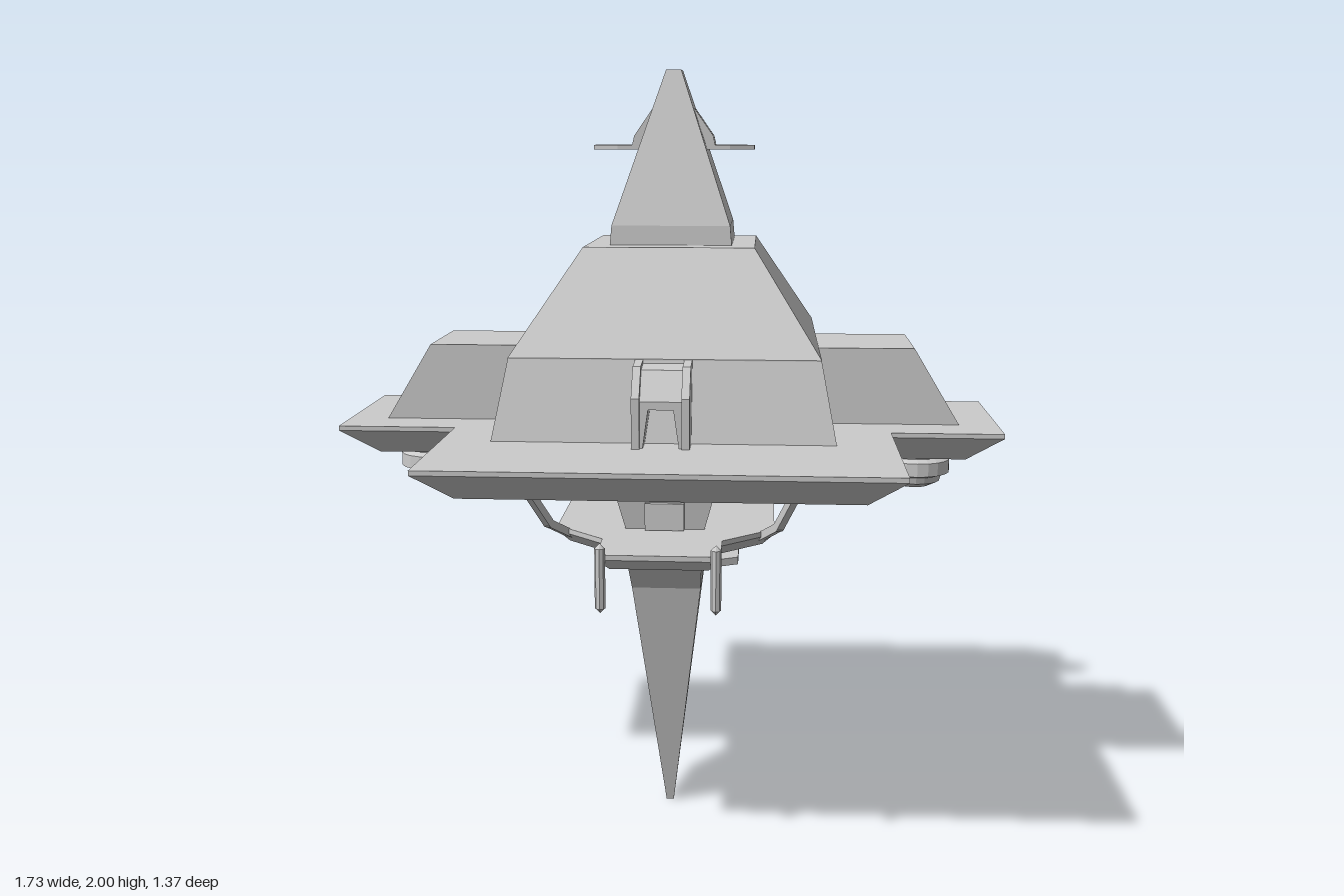
import * as THREE from 'three';

const mat = new THREE.MeshStandardMaterial({ color: 0xcccccc, flatShading: true });
const thin = new THREE.MeshStandardMaterial({ color: 0xcccccc, flatShading: true, side: THREE.DoubleSide });

export function createModel() {
  const model = new THREE.Group();

  function add(name, geo, material = mat) {
    const mesh = new THREE.Mesh(geo, material);
    mesh.name = name;
    model.add(mesh);
    return mesh;
  }

  // Rings run counter-clockwise seen from above, lowest ring first
  function loft(name, rings) {
    const pos = [], n = rings[0].length;
    for (let r = 0; r < rings.length - 1; r++) {
      const a = rings[r], b = rings[r + 1];
      for (let i = 0; i < n; i++) {
        const j = (i + 1) % n;
        pos.push(...a[i], ...a[j], ...b[j], ...a[i], ...b[j], ...b[i]);
      }
    }
    const cap = (ring, up) => {
      const flat = ring.map(p => new THREE.Vector2(p[0], -p[2]));
      for (const [i, j, k] of THREE.ShapeUtils.triangulateShape(flat, []))
        pos.push(...ring[i], ...ring[up ? j : k], ...ring[up ? k : j]);
    };
    cap(rings[0], false);
    cap(rings[rings.length - 1], true);
    const geo = new THREE.BufferGeometry();
    geo.setAttribute('position', new THREE.Float32BufferAttribute(pos, 3));
    geo.computeVertexNormals();
    return add(name, geo);
  }

  // Rectangular ring; yBack lets the rear edge sit at another height
  const rect = (x, front, back, y, yBack = y) =>
    [[x, y, front], [x, yBack, back], [-x, yBack, back], [-x, y, front]];

  // Outline moved inward by d with mitred corners
  function ringOf(pts, y, d = 0) {
    const n = pts.length;
    const normal = (p, q) => {
      const dx = q[0] - p[0], dz = q[1] - p[1], l = Math.hypot(dx, dz);
      return [-dz / l, dx / l];
    };
    return pts.map((p, i) => {
      const a = normal(pts[(i + n - 1) % n], p), b = normal(p, pts[(i + 1) % n]);
      const k = d / (1 + a[0] * b[0] + a[1] * b[1]);
      return [p[0] - (a[0] + b[0]) * k, y, p[1] - (a[1] + b[1]) * k];
    });
  }

  const shapeOf = pts => new THREE.Shape(pts.map(p => new THREE.Vector2(...p)));

  // Side profile of [z, y] points, w wide, centred on x
  function prism(name, pts, x, w) {
    const geo = new THREE.ExtrudeGeometry(shapeOf(pts), { depth: w, bevelEnabled: false });
    geo.translate(0, 0, -w / 2).rotateY(-Math.PI / 2).translate(x, 0, 0);
    return add(name, geo);
  }

  // Plan outline of [x, z] points, t thick below y
  function slab(name, pts, y, t) {
    const geo = new THREE.ExtrudeGeometry(shapeOf(pts), { depth: t, bevelEnabled: false });
    geo.rotateX(Math.PI / 2).translate(0, y, 0);
    return add(name, geo);
  }

  function box(name, w, h, d, x, y, z) {
    return add(name, new THREE.BoxGeometry(w, h, d).translate(x, y, z));
  }

  // Square bar between two points
  function bar(name, a, b, w) {
    const p = new THREE.Vector3(...a), q = new THREE.Vector3(...b);
    const m = add(name, new THREE.BoxGeometry(w, w, p.distanceTo(q) + w * 0.5));
    m.position.copy(p).add(q).multiplyScalar(0.5);
    m.lookAt(q);
  }

  // Cross-shaped platform with a bevelled underside
  const plan = [[.575, .68], [.575, .175], [.863, .175], [.863, -.3], [.575, -.3], [.575, -.685],
    [-.575, -.685], [-.575, -.3], [-.863, -.3], [-.863, .175], [-.555, .175], [-.555, .68]];
  loft('platform', [ringOf(plan, 1, .085), ringOf(plan, 1.073), ringOf(plan, 1.085)]);

  // Main building: sloped walls under an overhanging roof
  loft('lowerWalls', [rect(.43, .345, -.52, 1.08), rect(.39, .295, -.48, 1.285)]);
  loft('slopedRoof', [rect(.39, .295, -.588, 1.28), rect(.39, .295, -.588, 1.288), rect(.22, .122, -.365, 1.55)]);

  // Brackets under the rear overhang
  const bracket = [[-.583, 1.283], [-.583, 1.19], [-.53, 1.083], [-.49, 1.083], [-.49, 1.17], [-.565, 1.2], [-.565, 1.283]];
  for (const s of [-1, 1])
    for (let i = 0; i < 4; i++) prism('rearBracket', bracket, s * (.105 + i * .087), .045);

  // Front porch: cheeks, hood and tapered doorway
  const cheek = [[.28, 1.288], [.365, 1.28], [.42, 1.21], [.417, 1.08], [.32, 1.08]];
  prism('porchHood', [[.28, 1.28], [.355, 1.27], [.405, 1.2], [.405, 1.18], [.28, 1.18]], 0, .11);
  for (const s of [-1, 1]) {
    prism('porchCheek', cheek, s * .061, .02);
    const jamb = new THREE.ExtrudeGeometry(
      shapeOf([[s * .055, 1.08], [s * .045, 1.08], [s * .03, 1.185], [s * .055, 1.185]]),
      { depth: .08, bevelEnabled: false });
    add('doorJamb', jamb.translate(0, 0, .325));
  }

  // Tower: collar, then a tapered shaft pierced from side to side
  loft('towerCollar', [rect(.16, .037, -.3, 1.545), rect(.155, .035, -.298, 1.6)]);
  const mix = THREE.MathUtils.lerp;
  const towerX = y => mix(.155, .02, (y - 1.6) / .4);
  const towerZ = (y, s) => s > 0 ? mix(.035, -.088, (y - 1.6) / .4) : mix(-.298, -.18, (y - 1.6) / .4);
  for (const s of [-1, 1]) {
    const side = shapeOf([[.035, 1.6], [-.088, 2], [-.18, 2], [-.298, 1.6]]);
    side.holes.push(new THREE.Path([[-.1, 1.8], [-.162, 1.8], [-.162, 1.88], [-.1, 1.88]].map(p => new THREE.Vector2(...p))));
    const sideGeo = new THREE.ShapeGeometry(side), sp = sideGeo.attributes.position;
    for (let i = 0; i < sp.count; i++) sp.setXYZ(i, s * towerX(sp.getY(i)), sp.getY(i), sp.getX(i));
    sideGeo.computeVertexNormals();
    add('towerSide', sideGeo, thin);
    const faceGeo = new THREE.ShapeGeometry(shapeOf([[-.155, 1.6], [.155, 1.6], [.02, 2], [-.02, 2]]));
    const fp = faceGeo.attributes.position;
    for (let i = 0; i < fp.count; i++) fp.setZ(i, towerZ(fp.getY(i), s));
    faceGeo.computeVertexNormals();
    add('towerFace', faceGeo, thin);

    // Opening frame and pointed balcony
    for (const z of [-.093, -.17]) {
      const frame = new THREE.ExtrudeGeometry(
        shapeOf([[s * .085, 1.8], [s * .112, 1.8], [s * .105, 1.83], [s * .056, 1.9], [s * .045, 1.9]]),
        { depth: .014, bevelEnabled: false });
      add('openingFrame', frame.translate(0, 0, z - .007));
    }
    slab('balcony', [[s * .05, -.095], [s * .08, -.085], [s * .15, -.085], [s * .215, -.107],
      [s * .215, -.157], [s * .15, -.178], [s * .08, -.178], [s * .05, -.165]], 1.806, .012);
  }
  add('towerTop', new THREE.PlaneGeometry(.04, .092).rotateX(-Math.PI / 2).translate(0, 2, -.134), thin);
  const wall = (w, h) => new THREE.PlaneGeometry(w, h);
  add('tunnelFloor', wall(.17, .062).rotateX(-Math.PI / 2).translate(0, 1.8, -.131), thin);
  add('tunnelCeiling', wall(.12, .062).rotateX(-Math.PI / 2).translate(0, 1.88, -.131), thin);
  for (const z of [-.1, -.162]) {
    const geo = new THREE.ShapeGeometry(shapeOf([[-.0875, 1.8], [.0875, 1.8], [.0605, 1.88], [-.0605, 1.88]]));
    add('tunnelWall', geo.translate(0, 0, z), thin);
  }

  // Side pods and the round thrusters below them
  for (const s of [-1, 1]) {
    const pod = new THREE.ExtrudeGeometry(
      shapeOf([[s * .36, 1.08], [s * .765, 1.08], [s * .64, 1.286], [s * .36, 1.286]]),
      { depth: .288, bevelEnabled: false });
    add('sidePod', pod.translate(0, 0, -.233));
    const profile = [[.004, .893], [.04, .897], [.07, .912], [.075, .93], [.095, .937], [.095, .973], [.08, .982], [.08, 1.005]];
    const thruster = new THREE.LatheGeometry(profile.map(p => new THREE.Vector2(...p)), 20);
    add('thruster', thruster.translate(s * .66, 0, -.06), thin);
  }

  // Under-hull and rear chute
  loft('underHull', [rect(.09, .25, -.28, .8), rect(.145, .28, -.3, 1.005)]);
  prism('rearChute', [[-.25, 1.005], [-.49, 1.005], [-.49, .972], [-.41, .93], [-.3, .83], [-.25, .82]], 0, .2);
  box('frontHatch', .1, .07, .06, 0, .88, .25);

  // Lower deck with corner struts and end posts
  const deck = [[.15, .505], [.15, .36], [.28, .24], [.28, -.28], [.15, -.4], [.15, -.52],
    [-.15, -.52], [-.15, -.4], [-.28, -.28], [-.28, .24], [-.15, .36], [-.15, .505]];
  loft('lowerDeck', [ringOf(deck, .8, .03), ringOf(deck, .83), ringOf(deck, .843)]);
  for (const s of [-1, 1]) {
    for (const [top, mid, low] of [[.42, .32, .25], [-.47, -.34, -.27]]) {
      bar('strutUpper', [s * .34, 1.0, top], [s * .29, .87, mid], .02);
      bar('strutLower', [s * .29, .87, mid], [s * .245, .825, low], .02);
    }
    for (const z of [.505, -.525]) {
      const post = new THREE.CylinderGeometry(.013, .013, .15, 8);
      add('endPost', post.translate(s * .14, .785, z));
      add('postTip', new THREE.ConeGeometry(.013, .013, 8).translate(s * .14, .866, z));
      add('postFoot', new THREE.ConeGeometry(.013, .013, 8).rotateX(Math.PI).translate(s * .14, .704, z));
    }
    // Small fins on the keel and lamps below the platform
    slab('keelFin', [[s * .08, .135], [s * .185, .08], [s * .185, -.07], [s * .08, -.155]], .72, .02);
    add('underLamp', new THREE.CylinderGeometry(.012, .008, .03, 8).translate(s * .165, .987, 0));
  }

  // Keel block and long tapering keel
  loft('keel', [rect(.01, .053, -.125, 0, .09), rect(.09, .21, -.222, .67),
    rect(.095, .276, -.302, .75), rect(.095, .276, -.302, .81)]);

  return model;
}
